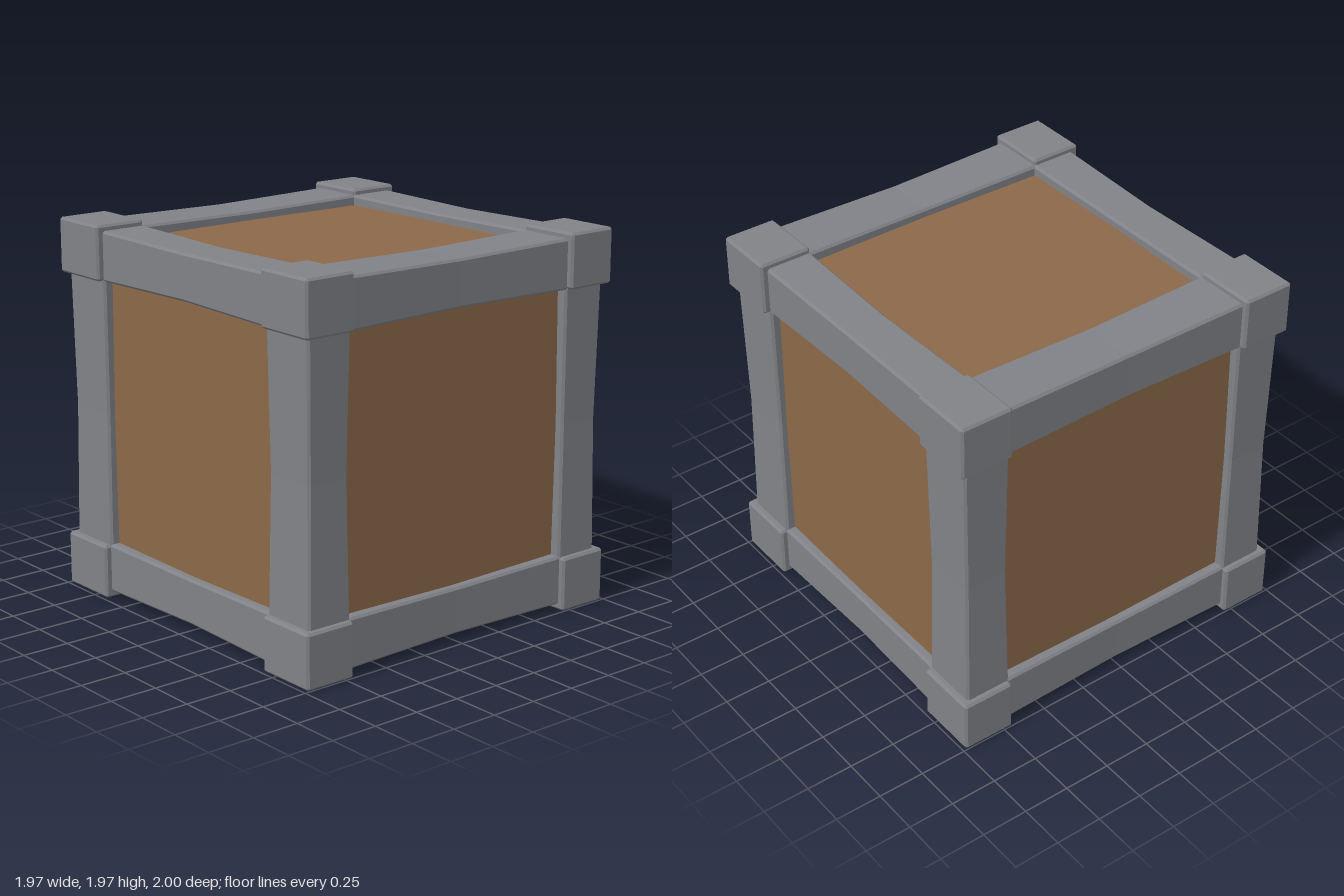
import * as THREE from 'three';
import { ConvexGeometry } from 'three/addons/geometries/ConvexGeometry.js';

const HALF = [0.985, 0.985, 1.0];   // outer half size of the corner blocks
const INNER = [0.70, 0.70, 0.66];   // inner limit of frame members
const BEAM = [0.95, 0.955, 0.967];  // outer face of the beams
const PANEL = [0.90, 0.90, 0.91];   // faces of the wooden core

// Box with cut edges, as the hull of 24 points
function chamferedBox(sx, sy, sz, c) {
  const points = [];
  const half = [sx / 2, sy / 2, sz / 2];
  for (const x of [-1, 1]) for (const y of [-1, 1]) for (const z of [-1, 1]) {
    for (let full = 0; full < 3; full++) {
      const p = [x, y, z].map((s, i) => s * (half[i] - (i === full ? 0 : c)));
      points.push(new THREE.Vector3(...p));
    }
  }
  return new ConvexGeometry(points);
}

// Bar along z with cut edges, slightly worn thinner toward the middle
function wornBar(w, h, length, c) {
  const x = w / 2, y = h / 2;
  const outline = new THREE.Shape([
    [-x + c, -y], [x - c, -y], [x, -y + c], [x, y - c],
    [x - c, y], [-x + c, y], [-x, y - c], [-x, -y + c],
  ].map(([a, b]) => new THREE.Vector2(a, b)));
  const geometry = new THREE.ExtrudeGeometry(outline, { depth: length, steps: 6, bevelEnabled: false });
  geometry.translate(0, 0, -length / 2);
  const pos = geometry.attributes.position;
  for (let i = 0; i < pos.count; i++) {
    const t = Math.abs(pos.getZ(i)) / (length / 2);
    const wear = 0.01 * (1 - t);
    pos.setX(i, pos.getX(i) - Math.sign(pos.getX(i)) * wear);
    pos.setY(i, pos.getY(i) - Math.sign(pos.getY(i)) * wear);
  }
  geometry.computeVertexNormals();
  return geometry;
}

export function createModel() {
  const metal = new THREE.MeshStandardMaterial({ color: 0x808287, flatShading: true });
  metal.name = 'grey metal';
  const wood = new THREE.MeshStandardMaterial({ color: 0x8b6849, flatShading: true });
  wood.name = 'brown wood';

  const crate = new THREE.Group();
  crate.name = 'crate';
  const add = (name, geometry, material, position) => {
    const mesh = new THREE.Mesh(geometry, material);
    mesh.name = name;
    mesh.position.set(...position);
    crate.add(mesh);
    return mesh;
  };

  // Wooden core whose faces are the six recessed panels
  add('woodenPanels', new THREE.BoxGeometry(...PANEL.map((v) => v * 2)), wood, [0, 0, 0]);

  // Eight corner blocks
  const size = HALF.map((v, i) => v - INNER[i]);
  const corner = chamferedBox(...size, 0.012);
  const middle = HALF.map((v, i) => (v + INNER[i]) / 2);
  for (const x of [-1, 1]) for (const y of [-1, 1]) for (const z of [-1, 1]) {
    add('cornerBlock', corner, metal, [x * middle[0], y * middle[1], z * middle[2]]);
  }

  // Twelve beams, four along each axis
  const beamSize = BEAM.map((v, i) => v - INNER[i] + 0.005);
  const beamMiddle = BEAM.map((v, i) => (v + INNER[i] - 0.005) / 2);
  const names = ['crossBeam', 'uprightBeam', 'sideBeam'];
  for (let axis = 0; axis < 3; axis++) {
    const length = INNER[axis] * 2 + 0.04;
    // Section axes after the bar is turned from z onto its own axis
    const [w, h] = [[2, 1], [0, 2], [0, 1]][axis].map((i) => beamSize[i]);
    const bar = wornBar(w, h, length, 0.012);
    if (axis === 0) bar.rotateY(Math.PI / 2);
    if (axis === 1) bar.rotateX(Math.PI / 2);
    const [u, v] = [0, 1, 2].filter((i) => i !== axis);
    for (const a of [-1, 1]) for (const b of [-1, 1]) {
      const position = [0, 0, 0];
      position[u] = a * beamMiddle[u];
      position[v] = b * beamMiddle[v];
      add(names[axis], bar, metal, position);
    }
  }

  // Rest the corner blocks on the ground
  crate.children.forEach((part) => { part.position.y += 0.988; });
  return crate;
}
